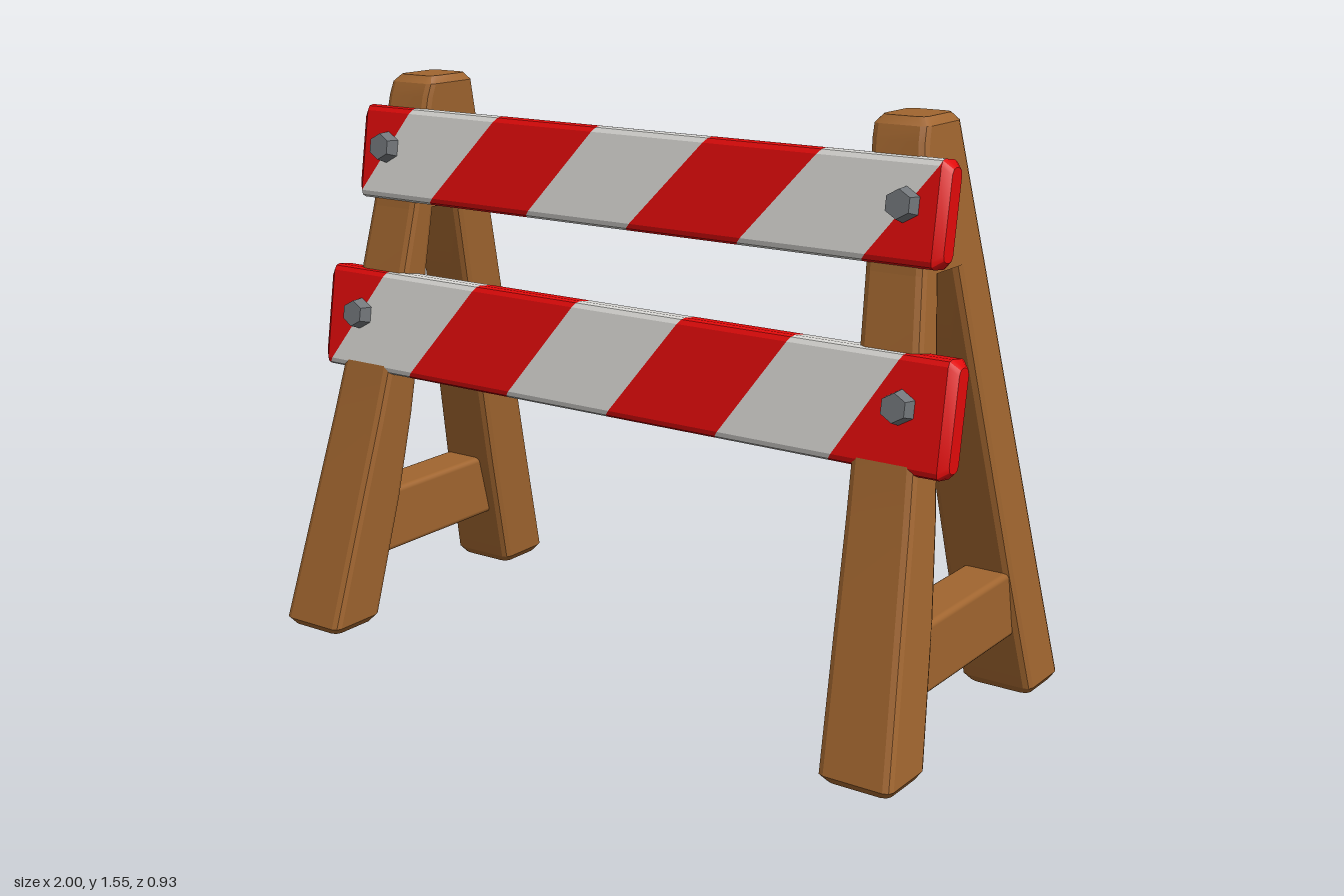
import * as THREE from 'three';
import { toCreasedNormals } from 'three/addons/utils/BufferGeometryUtils.js';
import { RoundedBoxGeometry } from 'three/addons/geometries/RoundedBoxGeometry.js';

const material = (name, color) => Object.assign(new THREE.MeshStandardMaterial({ color }), { name });

// Rectangle with rounded corners, counter-clockwise in (u, v)
function ring(u0, u1, v0, v1, r) {
  const pts = [];
  const corners = [[u1 - r, v1 - r], [u0 + r, v1 - r], [u0 + r, v0 + r], [u1 - r, v0 + r]];
  corners.forEach(([u, v], i) => {
    for (let k = 0; k <= 2; k++) {
      const a = (i + k / 2) * Math.PI / 2;
      pts.push([u + r * Math.cos(a), v + r * Math.sin(a)]);
    }
  });
  return pts;
}

// Skin over a series of equal-length rings of [x, y, z] points
function loft(rings, capStart, capEnd) {
  const n = rings[0].length, index = [];
  for (let s = 0; s < rings.length - 1; s++) {
    for (let i = 0; i < n; i++) {
      const a = s * n + i, b = s * n + (i + 1) % n;
      index.push(a, b, b + n, a, b + n, a + n);
    }
  }
  const last = (rings.length - 1) * n;
  for (let i = 1; i < n - 1; i++) {
    if (capStart) index.push(0, i + 1, i);
    if (capEnd) index.push(last, last + i, last + i + 1);
  }
  const geo = new THREE.BufferGeometry();
  geo.setAttribute('position', new THREE.Float32BufferAttribute(rings.flat(2), 3));
  geo.setIndex(index);
  return toCreasedNormals(geo, 0.36);
}

export function createModel() {
  const model = new THREE.Group();
  model.name = 'barricade';
  const wood = material('wood', 0xa0652f);
  const red = material('red paint', 0xe20a0a);
  const white = material('white paint', 0xdad9d5);
  const steel = material('bolt steel', 0x72767a);

  const add = (parent, name, geo, mat, x = 0, y = 0, z = 0) => {
    const mesh = new THREE.Mesh(geo, mat);
    mesh.name = name;
    mesh.position.set(x, y, z);
    parent.add(mesh);
    return mesh;
  };

  // Upright timber: rows of [y, zBack, zFront, inset], leaning inwards with height
  const upright = (side, rows) => loft(rows.map(([y, z0, z1, inset = 0]) => {
    const outer = 0.993 - 0.097 * y - inset, inner = 0.79 - 0.063 * y + inset;
    const [x0, x1] = side > 0 ? [inner, outer] : [-outer, -inner];
    return ring(z0, z1, x0, x1, 0.02).map(([z, x]) => [x, y, z]);
  }), true, true);

  // A-frames
  for (const side of [1, -1]) {
    const frame = new THREE.Group();
    frame.name = side > 0 ? 'leftFrame' : 'rightFrame';
    model.add(frame);
    add(frame, 'frontLeg', upright(side, [
      [0, 0.3, 0.45, 0.015], [0.02, 0.285, 0.465], [0.36, 0.2, 0.37], [0.6, 0.155, 0.302],
      [0.8, 0.128, 0.25], [1.02, 0.103, 0.205], [1.2, 0.08, 0.167]]), wood);
    add(frame, 'backLeg', upright(side, [
      [0, -0.45, -0.305, 0.015], [0.02, -0.465, -0.29], [0.36, -0.375, -0.205],
      [1.2, -0.158, -0.01]]), wood);
    add(frame, 'frameTop', upright(side, [
      [1.19, -0.16, 0.169], [1.5, -0.079, 0.12], [1.535, -0.07, 0.108], [1.555, -0.055, 0.09, 0.015]]), wood);
    add(frame, 'crossbar', new RoundedBoxGeometry(0.13, 0.185, 0.54, 2, 0.015), wood, side * 0.887, 0.268, 0);
  }

  // Back rail
  const railRing = ring(-0.083, 0.083, -0.06, 0.06, 0.015);
  const rail = add(model, 'backRail',
    loft([-0.8, 0.8].map(x => railRing.map(([y, z]) => [x, y, z])), true, true), wood, 0, 0.785, -0.17);
  rail.rotation.x = 0.24;

  // Striped board: bounds are [xBottom, xTop] of each slanted colour change
  function board(name, y, z, half, height, bounds, boltX) {
    const group = new THREE.Group();
    group.name = name;
    group.position.set(0, y, z);
    group.rotation.x = -0.16;
    model.add(group);
    const h = height / 2, t = 0.0425, lim = half - 0.022;
    const full = ring(-h, h, -t, t, 0.018);
    const small = ring(-h + 0.018, h - 0.018, -t + 0.018, t - 0.018, 0.018);
    const slice = ([b, top]) => full.map(([v, w]) =>
      [THREE.MathUtils.clamp(b + (top - b) * (v + h) / height, -lim, lim), v, w]);
    const end = s => small.map(([v, w]) => [s * half, v, w]);
    const cuts = [[-lim, -lim], ...bounds, [lim, lim]].map(slice);
    for (let i = 0; i < cuts.length - 1; i++) {
      const first = i === 0, last = i === cuts.length - 2;
      const rings = [cuts[i], cuts[i + 1]];
      if (first) rings.unshift(end(-1));
      if (last) rings.push(end(1));
      add(group, i % 2 ? 'whiteStripe' : 'redStripe', loft(rings, first, last), i % 2 ? white : red);
    }
    // Hex bolts
    for (const s of [-1, 1]) {
      const bolt = add(group, 'bolt', new THREE.CylinderGeometry(0.036, 0.046, 0.05, 6), steel, s * boltX, 0.015, t + 0.012);
      bolt.geometry = toCreasedNormals(bolt.geometry, 0.3);
      bolt.rotation.x = Math.PI / 2;
    }
  }

  board('upperBoard', 1.336, 0.119, 0.923, 0.26,
    [[-0.915, -0.735], [-0.655, -0.43], [-0.315, -0.1], [0.015, 0.25], [0.355, 0.58], [0.71, 0.91]], 0.817);
  board('lowerBoard', 0.87, 0.2, 1, 0.288,
    [[-0.975, -0.78], [-0.675, -0.45], [-0.325, -0.11], [0.01, 0.225], [0.35, 0.55], [0.68, 0.86]], 0.865);

  return model;
}
